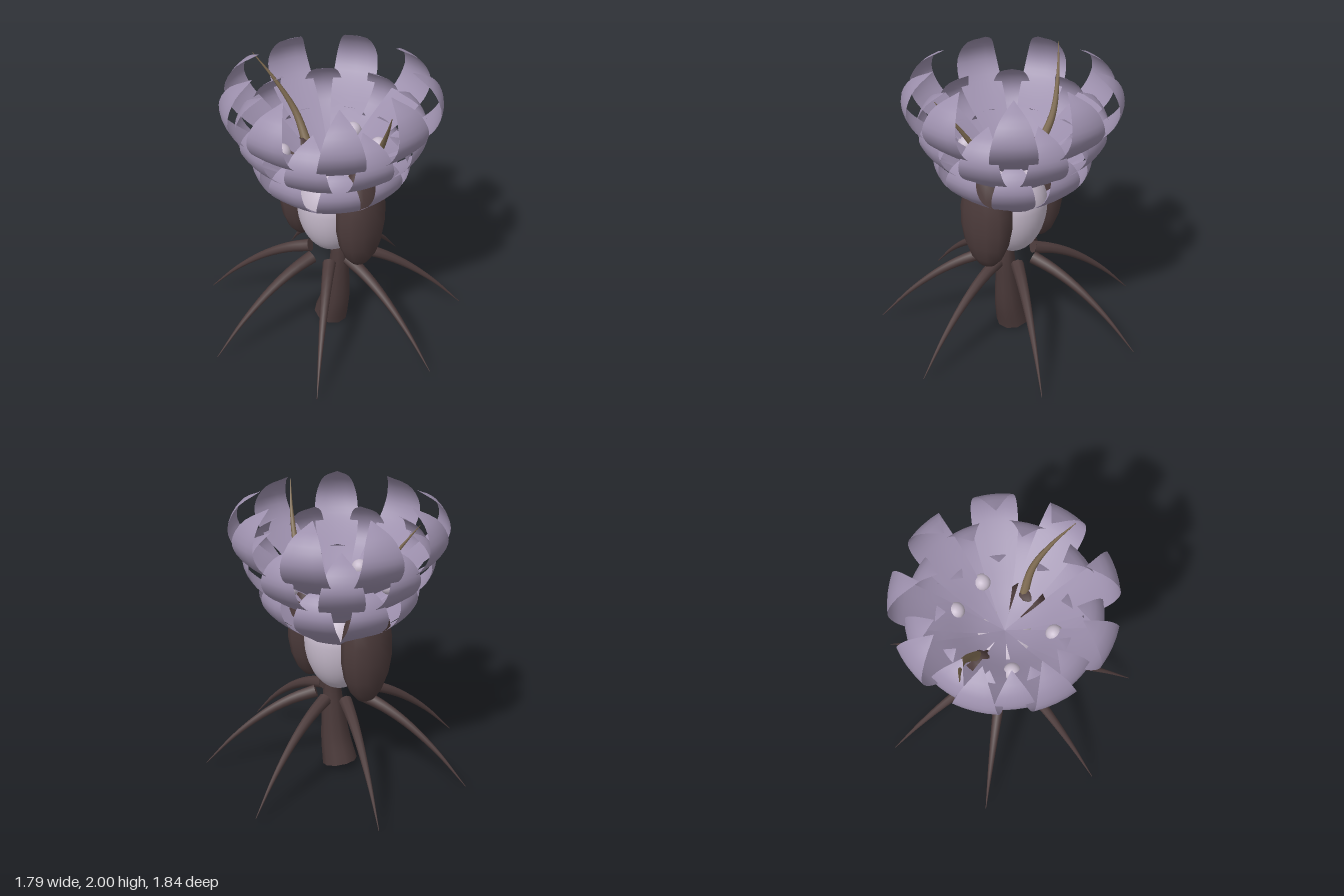
import * as THREE from 'three';

const AXIS_X = -0.04; // the plant's own axis

const mat = (name, color, side = THREE.FrontSide) => {
  const m = new THREE.MeshStandardMaterial({ color, side });
  m.name = name;
  return m;
};

// Tapered tube along a smooth path, closed by a disc at its thick end
function taperedTube(name, points, r0, r1, sides, material) {
  const curve = new THREE.CatmullRomCurve3(points.map((p) => new THREE.Vector3(...p)));
  const steps = 16;
  const geo = new THREE.TubeGeometry(curve, steps, 1, sides);
  const pos = geo.attributes.position;
  const v = new THREE.Vector3();
  for (let i = 0; i <= steps; i++) {
    const c = curve.getPointAt(i / steps);
    const r = r0 + (r1 - r0) * (i / steps);
    for (let j = 0; j <= sides; j++) {
      const k = i * (sides + 1) + j;
      v.fromBufferAttribute(pos, k).sub(c).multiplyScalar(r).add(c);
      pos.setXYZ(k, v.x, v.y, v.z);
    }
  }
  const group = new THREE.Group();
  group.name = name;
  group.add(new THREE.Mesh(geo, material));
  const cap = new THREE.Mesh(new THREE.CircleGeometry(r0, sides), material);
  cap.position.copy(curve.getPointAt(0));
  cap.quaternion.setFromUnitVectors(new THREE.Vector3(0, 0, 1), curve.getTangentAt(0).negate());
  group.add(cap);
  return group;
}

// Petal running outward along +x, swelling, then curling back in to a point
function petalGeometry(rScale, yScale, wScale) {
  // radius, height, half width
  const profile = [
    [0, 0, 0.012], [0.2, 0.07, 0.06], [0.4, 0.195, 0.11], [0.58, 0.31, 0.145],
    [0.69, 0.41, 0.152], [0.73, 0.52, 0.14], [0.67, 0.65, 0.095], [0.52, 0.74, 0.002],
  ];
  const curve = new THREE.CatmullRomCurve3(profile.map((p) => new THREE.Vector3(...p)));
  const geo = new THREE.PlaneGeometry(1, 1, 4, 24);
  const pos = geo.attributes.position;
  for (let i = 0; i < pos.count; i++) {
    const s = pos.getX(i) * 2;
    const p = curve.getPoint(pos.getY(i) + 0.5);
    const cup = 0.1 * p.z * s * s;
    pos.setXYZ(i, p.x * rScale - cup, p.y * yScale, -s * p.z * wScale);
  }
  geo.computeVertexNormals();
  return geo;
}

export function createModel() {
  const model = new THREE.Group();
  model.name = 'fantasyPlant';
  const petalMat = mat('mauve petal', 0x9c8fac, THREE.DoubleSide);
  const bulbMat = mat('pale lilac', 0xc6bacb);
  const barkMat = mat('dark bark', 0x4c3b3b);
  const hornMat = mat('tan horn', 0x7c6950);

  const plant = new THREE.Group();
  plant.name = 'plant';
  plant.position.x = AXIS_X;
  model.add(plant);

  // Bulb: egg with a flatter top
  const bulbGeo = new THREE.SphereGeometry(1, 32, 24);
  const bp = bulbGeo.attributes.position;
  for (let i = 0; i < bp.count; i++) {
    const y = bp.getY(i);
    bp.setXYZ(i, bp.getX(i) * 0.24, y * (y > 0 ? 0.26 : 0.38), bp.getZ(i) * 0.24);
  }
  bulbGeo.computeVertexNormals();
  const bulb = new THREE.Mesh(bulbGeo, bulbMat);
  bulb.name = 'bulb';
  bulb.position.y = 1;
  plant.add(bulb);

  // Three rings of nine petals
  const rings = [
    { name: 'lowerPetal', y: 0.93, r: 0.73, h: 0.8, w: 0.93, turn: 0 },
    { name: 'middlePetal', y: 1.11, r: 0.875, h: 0.9, w: 0.97, turn: 20 },
    { name: 'upperPetal', y: 1.26, r: 1, h: 1, w: 1, turn: 0 },
  ];
  for (const ring of rings) {
    const geo = petalGeometry(ring.r, ring.h, ring.w);
    for (let i = 0; i < 9; i++) {
      const petal = new THREE.Mesh(geo, petalMat);
      petal.name = ring.name;
      petal.position.y = ring.y;
      petal.rotation.y = THREE.MathUtils.degToRad(i * 40 + ring.turn);
      plant.add(petal);
    }
  }

  // Small berries nestled between the petals
  for (const deg of [-61, -108, 67, 137]) {
    const a = THREE.MathUtils.degToRad(deg);
    const berry = new THREE.Mesh(new THREE.SphereGeometry(0.058, 16, 12), bulbMat);
    berry.name = 'berry';
    berry.position.set(0.33 * Math.cos(a), 1.38, 0.33 * Math.sin(a));
    plant.add(berry);
  }

  // Side pods and curved horns, mirrored
  const podGeo = new THREE.SphereGeometry(1, 12, 9);
  for (const s of [1, -1]) {
    const pod = new THREE.Mesh(podGeo, barkMat);
    pod.name = 'sidePod';
    pod.scale.set(0.14, 0.385, 0.197);
    pod.position.set(s * 0.275, 0.995, 0);
    plant.add(pod);
    plant.add(taperedTube('horn', [
      [s * 0.24, 1.3, -0.02], [s * 0.38, 1.52, -0.04], [s * 0.51, 1.74, 0.02], [s * 0.63, 1.94, 0.11],
    ], 0.035, 0.002, 8, hornMat));
  }

  // Leaning trunk
  plant.add(taperedTube('trunk', [
    [-0.01, 0.03, 0], [0.035, 0.2, 0], [0.06, 0.4, 0], [0.07, 0.6, 0], [0.05, 0.74, 0],
  ], 0.122, 0.045, 10, barkMat));

  // Seven arching roots
  for (let i = 0; i < 7; i++) {
    const root = taperedTube('root', [
      [0.16, 0.585, 0], [0.32, 0.53, 0], [0.51, 0.425, 0], [0.73, 0.25, 0], [0.94, 0.03, 0],
    ], 0.046, 0.002, 8, barkMat);
    root.rotation.y = (i * Math.PI * 2) / 7;
    plant.add(root);
  }
  return model;
}
